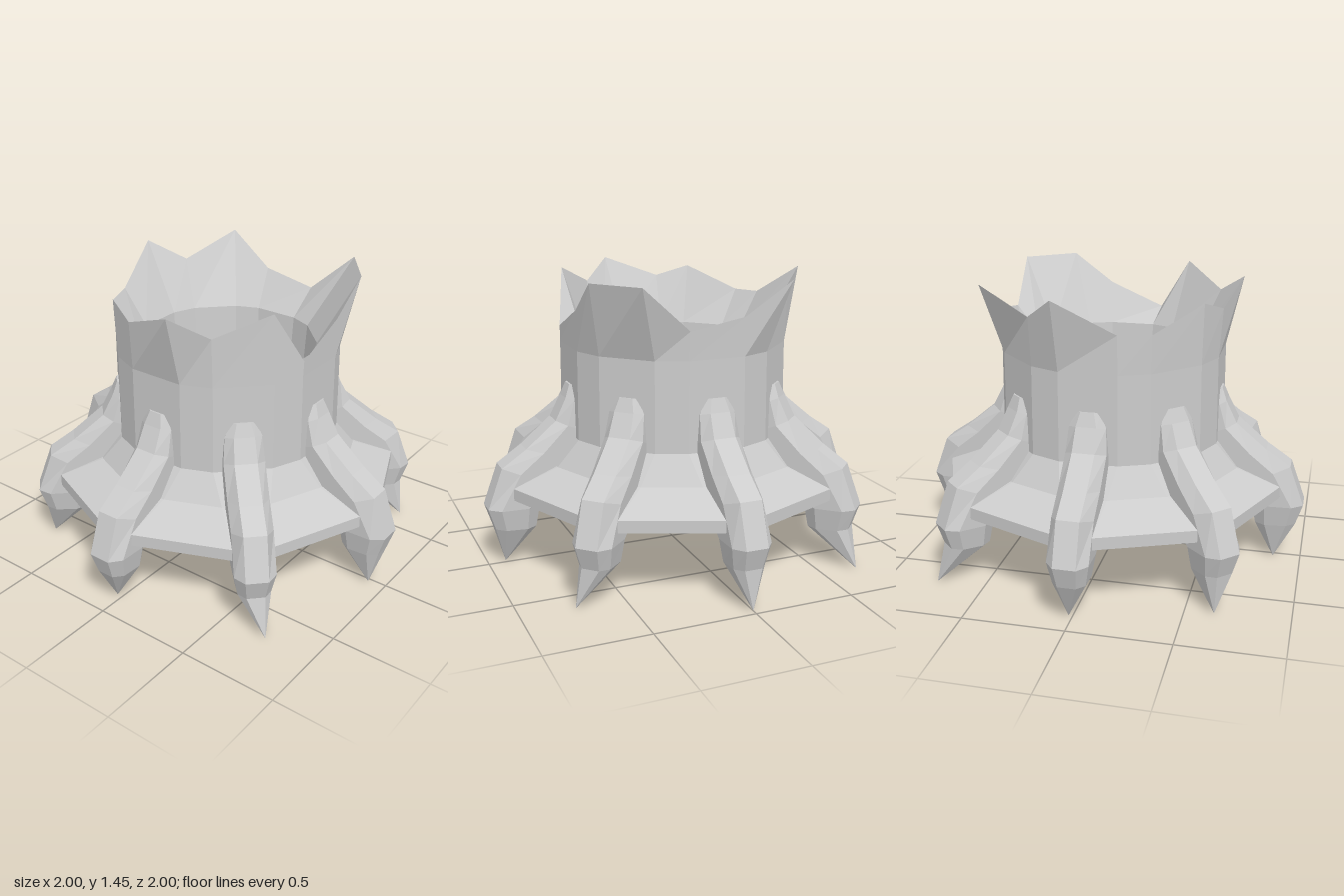
import * as THREE from 'three';

const material = new THREE.MeshStandardMaterial({ color: 0xcccccc, flatShading: true });

// Skin a list of closed rings of points (counter-clockwise from above, bottom to top)
function loft(rings) {
  const pos = [];
  const tri = (a, b, c) => {
    const area = b.clone().sub(a).cross(c.clone().sub(a)).length();
    if (area > 1e-9) for (const p of [a, b, c]) pos.push(p.x, p.y, p.z);
  };
  for (let k = 0; k < rings.length - 1; k++) {
    const lo = rings[k], hi = rings[k + 1], n = lo.length;
    for (let i = 0; i < n; i++) {
      const j = (i + 1) % n;
      tri(lo[i], lo[j], hi[j]);
      tri(lo[i], hi[j], hi[i]);
    }
  }
  const geo = new THREE.BufferGeometry();
  geo.setAttribute('position', new THREE.Float32BufferAttribute(pos, 3));
  geo.computeVertexNormals();
  return geo;
}

// Sixteen-point ring: a pair of corners, spread degrees either side of each root
function pairedRing(r, y, spread) {
  const ring = [];
  for (let k = 0; k < 8; k++) {
    for (const s of [-1, 1]) {
      const a = THREE.MathUtils.degToRad(k * 45 + s * spread);
      ring.push(new THREE.Vector3(r * Math.sin(a), y, r * Math.cos(a)));
    }
  }
  return ring;
}

// Splintered rim corners: x, height, z
const rim = [
  [-0.14, 1.335, 0.57], [0.14, 1.44, 0.635], [0.29, 1.335, 0.5], [0.49, 1.44, 0.3],
  [0.555, 1.17, 0.14], [0.555, 1.29, -0.14], [0.555, 1.445, -0.35], [0.38, 1.445, -0.58],
  [0.14, 1.23, -0.56], [-0.14, 1.28, -0.56], [-0.38, 1.445, -0.58], [-0.5, 1.33, -0.3],
  [-0.64, 1.445, -0.15], [-0.555, 1.28, 0.14], [-0.5, 1.275, 0.29], [-0.3, 1.39, 0.5],
].map((p) => new THREE.Vector3(...p));

function makeStump() {
  const rings = [
    // recessed underside and plate edge
    pairedRing(0, 0.4, 6.5), pairedRing(0.81, 0.4, 6.5), pairedRing(0.886, 0.36, 6.5),
    pairedRing(0.886, 0.42, 6.5),
    // flared skirt and trunk wall
    pairedRing(0.67, 0.51, 10), pairedRing(0.575, 0.645, 14.5), pairedRing(0.572, 1.09, 14.5),
    rim,
    // hollow bowl inside
    pairedRing(0.455, 1.09, 14.5), pairedRing(0.435, 0.82, 14.5), pairedRing(0.35, 0.68, 14.5),
    pairedRing(0.225, 0.59, 14.5), pairedRing(0.105, 0.55, 14.5), pairedRing(0, 0.55, 14.5),
  ];
  const mesh = new THREE.Mesh(loft(rings), material);
  mesh.name = 'hollowStump';
  return mesh;
}

// Bevelled root section from its inner to its outer edge (radius, height)
function rootSection([ri, yi, ro, yo, w]) {
  const at = (x, t) => new THREE.Vector3(x, yi + (yo - yi) * t, ri + (ro - ri) * t);
  const n = w * 0.55;
  return [at(-n, 1), at(n, 1), at(w, 0.78), at(w, 0.25), at(n, 0), at(-n, 0), at(-w, 0.25), at(-w, 0.78)];
}

// Inner radius, inner y, outer radius, outer y, half width
const rootSections = [
  [0.76, 0.19, 0.965, 0.2, 0.08],
  [0.74, 0.305, 1.0, 0.31, 0.1],
  [0.55, 0.385, 0.925, 0.515, 0.1],
  [0.45, 0.52, 0.8, 0.6, 0.1],
  [0.42, 0.64, 0.645, 0.73, 0.1],
  [0.45, 0.8, 0.59, 0.84, 0.09],
  [0.47, 0.9, 0.565, 0.905, 0.06],
];

// Ground point (x, z) of every root, starting at the front and turning to the left
const rootTips = [
  [-0.03, 0.86], [0.745, 0.69], [0.91, 0.02], [0.74, -0.635],
  [0.0, -0.97], [-0.69, -0.745], [-0.86, -0.02], [-0.69, 0.64],
];

function makeRoot([x, z], angle) {
  const tip = new THREE.Vector3(x, 0, z).applyAxisAngle(new THREE.Vector3(0, 1, 0), -angle);
  const end = new THREE.Vector3(0, 0.9, 0.52);
  const rings = [
    Array(8).fill(tip),
    ...rootSections.map(rootSection),
    Array(8).fill(end),
  ];
  const mesh = new THREE.Mesh(loft(rings), material);
  mesh.rotation.y = angle;
  return mesh;
}

export function createModel() {
  const model = new THREE.Group();
  model.name = 'treeStump';
  model.add(makeStump());
  rootTips.forEach((tip, i) => {
    const root = makeRoot(tip, (i * Math.PI) / 4);
    root.name = `root${i + 1}`;
    model.add(root);
  });
  return model;
}
